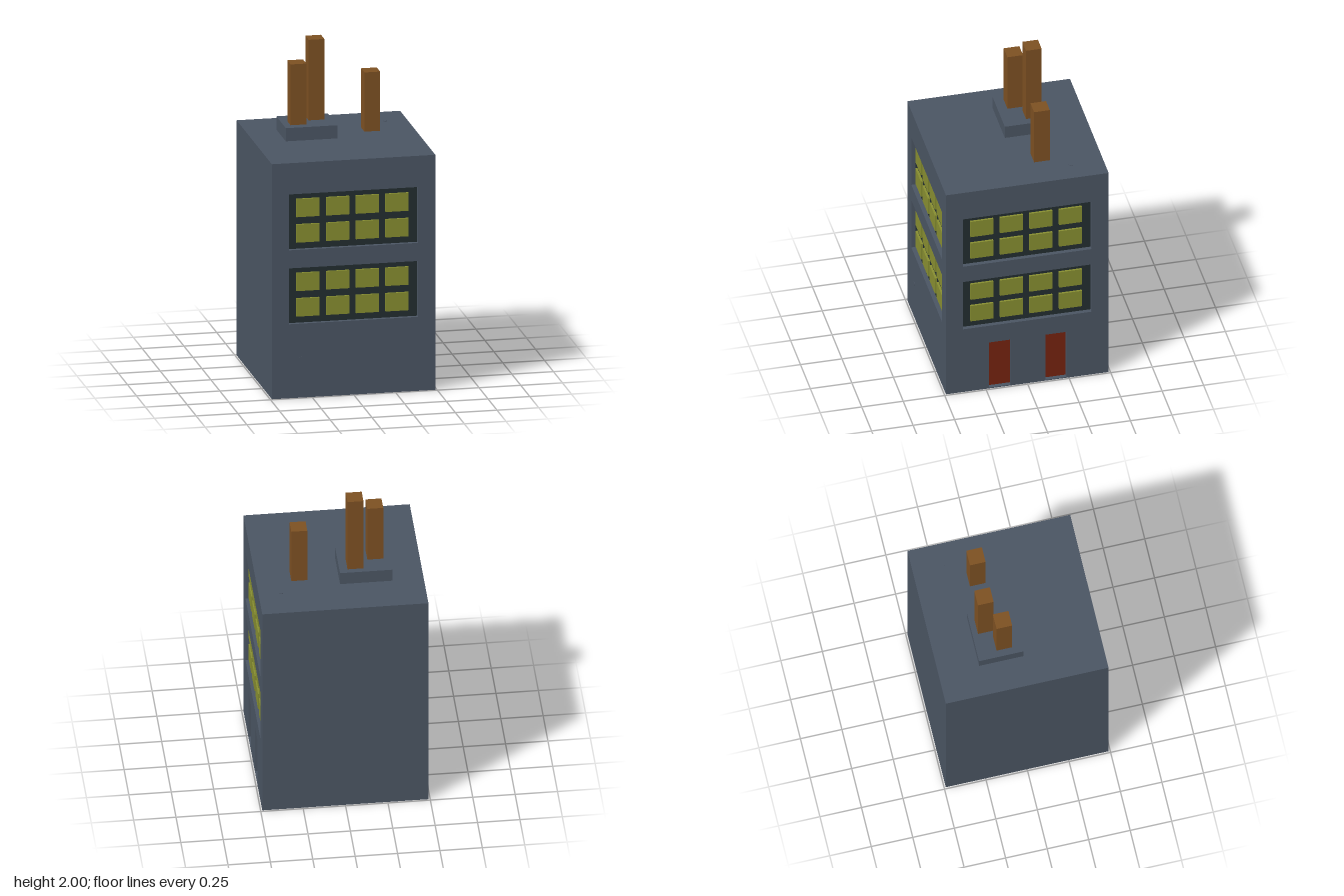
import * as THREE from 'three';

const HALF = 0.49, HEIGHT = 1.43, DEPTH = 0.03;

export function createModel() {
  const paint = (name, color) => {
    const m = new THREE.MeshStandardMaterial({ color });
    m.name = name;
    return m;
  };
  const wall = paint('slate wall', 0x4a5462);
  const frame = paint('dark frame', 0x222d30);
  const glass = paint('yellow glass', 0x868d30);
  const wood = paint('brown chimney', 0x7c5022);
  const red = paint('red door', 0x74220f);

  const model = new THREE.Group();
  model.name = 'building';

  // Box given by its minimum and maximum on each axis
  const box = (name, mat, parent, [x0, x1], [y0, y1], [z0, z1]) => {
    const mesh = new THREE.Mesh(new THREE.BoxGeometry(x1 - x0, y1 - y0, z1 - z0), mat);
    mesh.position.set((x0 + x1) / 2, (y0 + y1) / 2, (z0 + z1) / 2);
    mesh.name = name;
    parent.add(mesh);
    return mesh;
  };
  const rect = (T, x0, x1, y0, y1) => new T([
    new THREE.Vector2(x0, y0), new THREE.Vector2(x1, y0),
    new THREE.Vector2(x1, y1), new THREE.Vector2(x0, y1),
  ]);

  // Solid core behind the two windowed walls
  const inner = HALF - DEPTH;
  box('core', wall, model, [-HALF, inner], [0, HEIGHT], [-HALF, inner]);

  const storeys = [[0.45, 0.79], [0.90, 1.24]];
  const doors = [[-0.23, -0.10], [0.11, 0.235]];

  // A wall with recessed windows and optional doors, facing +z
  const facade = (name, xStart, hasDoors) => {
    const group = new THREE.Group();
    group.name = name;
    const shape = rect(THREE.Shape, xStart, HALF, 0, HEIGHT);
    for (const [y0, y1] of storeys) {
      shape.holes.push(rect(THREE.Path, -0.387, 0.387, y0, y1));
      box('windowFrame', frame, group, [-0.387, 0.387], [y0, y1], [inner, inner + 0.004]);
      for (const y of [y0 + 0.095, y0 + 0.25]) {
        for (let i = 0; i < 4; i++) {
          const x = -0.27 + i * 0.178;
          box('windowPane', glass, group, [x - 0.069, x + 0.069],
            [y - 0.055, y + 0.055], [inner, inner + 0.017]);
        }
      }
    }
    if (hasDoors) {
      for (const [x0, x1] of doors) {
        shape.holes.push(rect(THREE.Path, x0, x1, 0.006, 0.33));
        box('door', red, group, [x0, x1], [0.006, 0.33], [inner, inner + 0.005]);
      }
    }
    const panel = new THREE.Mesh(
      new THREE.ExtrudeGeometry(shape, { depth: DEPTH, bevelEnabled: false }), wall);
    panel.position.z = inner;
    panel.name = 'wallPanel';
    group.add(panel);
    model.add(group);
    return group;
  };
  facade('frontWall', -HALF, false);
  facade('sideWall', -inner, true).rotation.y = Math.PI / 2;

  // Roof platform and chimneys
  box('roofPlatform', wall, model, [-0.305, 0.004], [HEIGHT, 1.51], [-0.246, 0.02]);
  for (const [x, z, y0, top] of [
    [-0.217, -0.084, 1.51, 1.88], [-0.091, -0.166, 1.51, 2], [0.237, -0.137, HEIGHT, 1.79],
  ]) {
    box('chimney', wood, model, [x - 0.047, x + 0.047], [y0, top], [z - 0.047, z + 0.047]);
  }

  // Tiny studs on the roof and the front wall
  const studGeometry = new THREE.CylinderGeometry(0.012, 0.012, 0.006, 12);
  const roofStud = new THREE.Mesh(studGeometry, wall);
  roofStud.name = 'roofStud';
  roofStud.position.set(0.357, HEIGHT, -0.293);
  const wallStud = new THREE.Mesh(studGeometry, wall);
  wallStud.name = 'wallStud';
  wallStud.position.set(-0.315, 0.24, HALF);
  wallStud.rotation.x = Math.PI / 2;
  model.add(roofStud, wallStud);

  return model;
}
